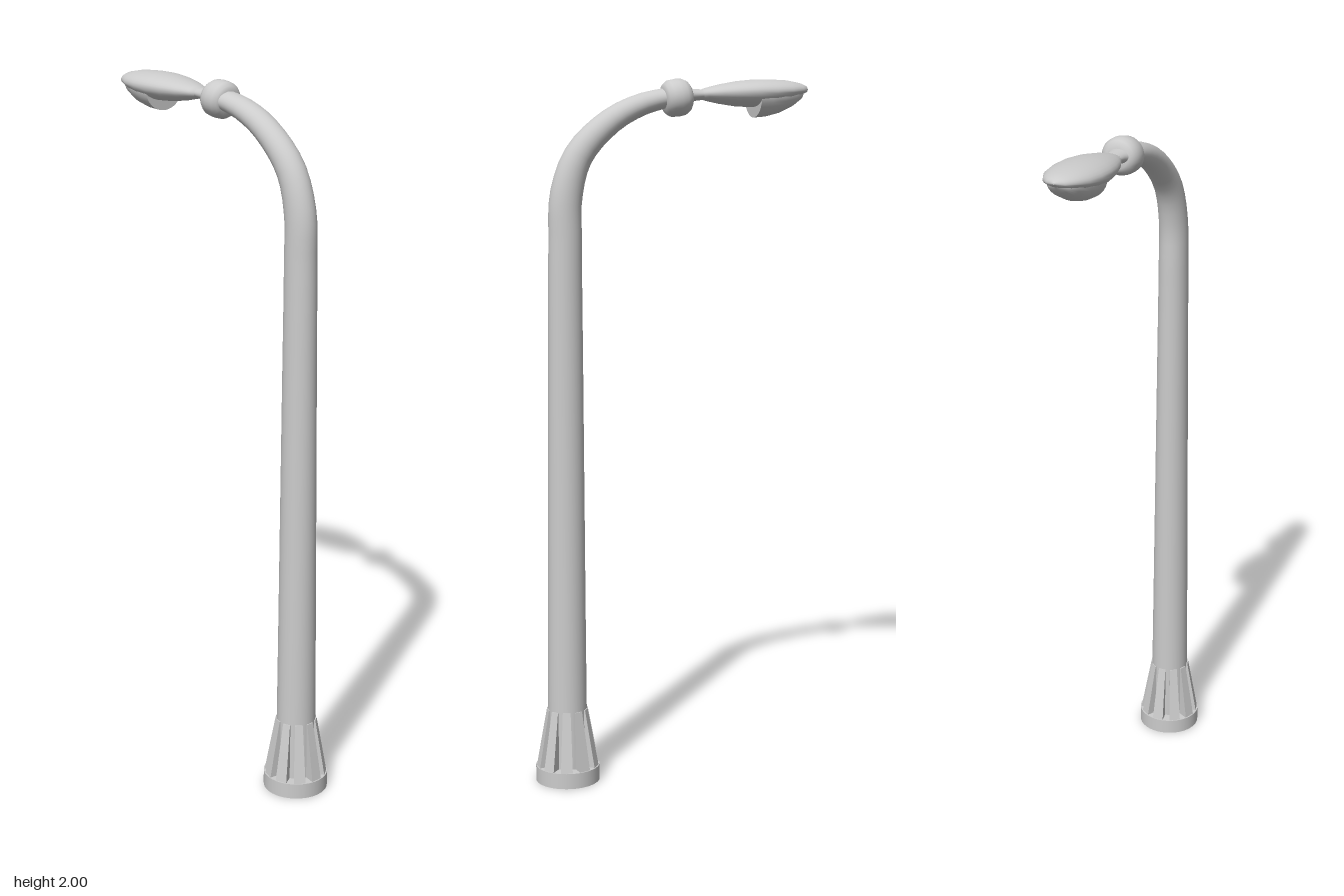
import * as THREE from 'three';

const SEGMENTS = 32;
const BASE_Z = 0.32;
const RIBS = 10;

// Skin a list of closed rings (each an array of SEGMENTS points) with smooth normals.
function loft(rings) {
  const index = [];
  for (let i = 0; i < rings.length - 1; i++) {
    for (let j = 0; j < SEGMENTS; j++) {
      const k = (j + 1) % SEGMENTS;
      const a = i * SEGMENTS + j, b = i * SEGMENTS + k;
      const c = a + SEGMENTS, d = b + SEGMENTS;
      index.push(a, c, b, b, c, d);
    }
  }
  const geometry = new THREE.BufferGeometry().setFromPoints(rings.flat());
  geometry.setIndex(index);
  geometry.computeVertexNormals();
  return geometry;
}

// Ring from an angle-to-point rule.
function ring(pointAt) {
  return Array.from({ length: SEGMENTS }, (_, j) => {
    const a = (j / SEGMENTS) * Math.PI * 2;
    return pointAt(Math.cos(a), Math.sin(a));
  });
}

// Upright oval section: different heights above and below its widest line.
const oval = ([z, w, top, mid, bottom]) =>
  ring((c, s) => new THREE.Vector3(w * c, mid + s * (s > 0 ? top - mid : mid - bottom), z));

export function createModel() {
  const group = new THREE.Group();
  const material = new THREE.MeshStandardMaterial({ color: 0xcccccc, side: THREE.DoubleSide });
  const add = (name, geometry, parent = group) => {
    const mesh = new THREE.Mesh(geometry, material);
    mesh.name = name;
    parent.add(mesh);
    return mesh;
  };

  // Base: hollow foot ring with a flat ledge
  const base = new THREE.Group();
  base.name = 'base';
  base.position.z = BASE_Z;
  group.add(base);
  add('footRing', new THREE.CylinderGeometry(0.092, 0.092, 0.045, 40, 1, true).translate(0, 0.0225, 0), base);
  add('footLedge', new THREE.RingGeometry(0.055, 0.092, 40).rotateX(-Math.PI / 2).translate(0, 0.045, 0), base);

  // Base: tapering ribs that widen away from the pole
  const outline = new THREE.Shape([
    new THREE.Vector2(0.048, 0.045), new THREE.Vector2(0.088, 0.045),
    new THREE.Vector2(0.073, 0.13), new THREE.Vector2(0.058, 0.213), new THREE.Vector2(0.048, 0.213),
  ]);
  const rib = new THREE.ExtrudeGeometry(outline, { depth: 0.034, bevelEnabled: false }).translate(0, 0, -0.017);
  const p = rib.attributes.position;
  for (let i = 0; i < p.count; i++) p.setZ(i, p.getZ(i) * p.getX(i) / 0.088);
  rib.computeVertexNormals();
  for (let i = 0; i < RIBS; i++) {
    add('baseRib', rib, base).rotation.y = ((i + 0.5) / RIBS) * Math.PI * 2;
  }

  // Pole: straight tapering shaft curving over into the arm
  const path = new THREE.CatmullRomCurve3([
    [0.045, 0.32], [0.4, 0.319], [0.8, 0.317], [1.2, 0.315], [1.55, 0.313], [1.68, 0.309],
    [1.79, 0.272], [1.882, 0.18], [1.928, 0.09], [1.949, 0], [1.952, -0.02],
  ].map(([y, z]) => new THREE.Vector3(0, y, z)), false, 'centripetal');
  const poleRings = [];
  for (let i = 0; i <= 60; i++) {
    const u = i / 60;
    const o = path.getPointAt(u), t = path.getTangentAt(u);
    const rx = THREE.MathUtils.lerp(0.057, 0.036, u);
    const rn = u < 0.78
      ? THREE.MathUtils.lerp(0.057, 0.046, u / 0.78)
      : THREE.MathUtils.lerp(0.046, 0.026, (u - 0.78) / 0.22);
    poleRings.push(ring((c, s) =>
      new THREE.Vector3(rx * c, o.y - t.z * rn * s, o.z + t.y * rn * s)));
  }
  add('pole', loft(poleRings));

  // Collar between arm and lamp
  const collarProfile = [
    [0.02, -0.041], [0.034, -0.04], [0.045, -0.034], [0.053, -0.022], [0.055, 0],
    [0.053, 0.018], [0.045, 0.031], [0.034, 0.038], [0.02, 0.039],
  ].map(([r, y]) => new THREE.Vector2(r, y));
  const collar = add('collar', new THREE.LatheGeometry(collarProfile, 32));
  collar.position.set(0.004, 1.947, -0.013);
  collar.rotation.x = -Math.PI / 2 + 0.12;
  collar.scale.set(1, 1, 0.95);

  // Neck
  add('neck', loft([
    [-0.04, 0.034, 1.975, 1.953, 1.931],
    [-0.062, 0.027, 1.972, 1.955, 1.938],
    [-0.095, 0.026, 1.97, 1.957, 1.942],
  ].map(oval)));

  // Lamp housing
  add('lampHousing', loft([
    [-0.08, 0.002, 1.959, 1.957, 1.955],
    [-0.083, 0.024, 1.969, 1.957, 1.944],
    [-0.1, 0.035, 1.975, 1.958, 1.939],
    [-0.14, 0.053, 1.985, 1.96, 1.931],
    [-0.19, 0.068, 1.994, 1.962, 1.924],
    [-0.24, 0.076, 1.999, 1.964, 1.922],
    [-0.29, 0.076, 2.0, 1.965, 1.93],
    [-0.34, 0.067, 1.998, 1.967, 1.942],
    [-0.38, 0.047, 1.991, 1.97, 1.954],
    [-0.4, 0.027, 1.984, 1.971, 1.962],
    [-0.41, 0.002, 1.976, 1.973, 1.971],
  ].map(oval)));

  // Lens under the front of the housing, with a flat rear face
  const lens = [
    [-0.245, 0.067, 1.957, 1.956, 1.893],
    [-0.28, 0.067, 1.958, 1.957, 1.896],
    [-0.32, 0.061, 1.96, 1.958, 1.906],
    [-0.36, 0.047, 1.963, 1.96, 1.925],
    [-0.385, 0.03, 1.966, 1.962, 1.943],
    [-0.399, 0.004, 1.968, 1.966, 1.962],
  ].map(oval);
  add('lens', loft(lens));
  add('lensBack', loft([oval([-0.245, 0, 1.935, 1.935, 1.935]), lens[0]]));

  return group;
}
